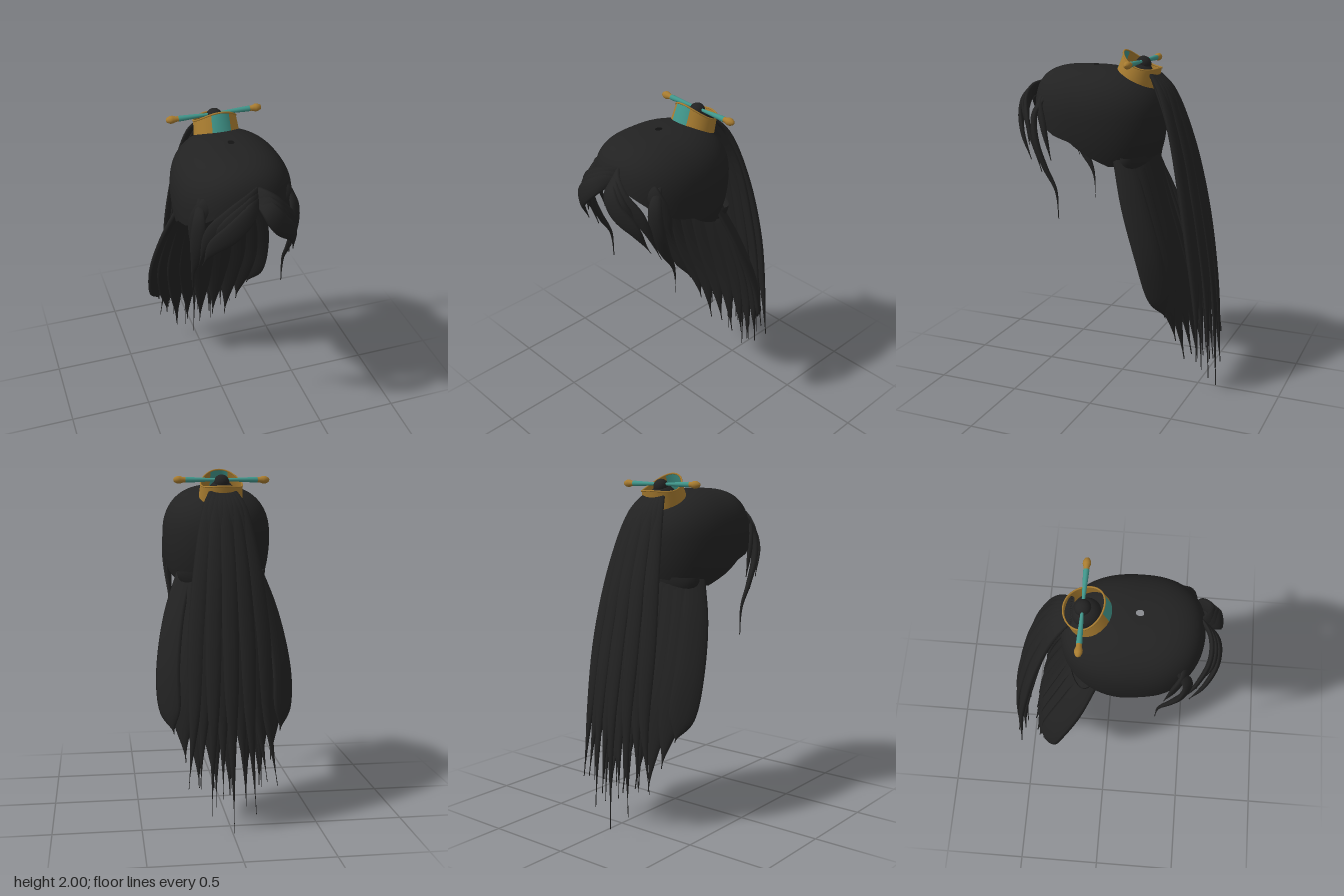
import * as THREE from 'three';

const hair = new THREE.MeshStandardMaterial({ color: 0x222222, side: THREE.DoubleSide });
hair.name = 'black hair';
const gold = new THREE.MeshStandardMaterial({ color: 0xa87c30, side: THREE.DoubleSide });
gold.name = 'gold';
const teal = new THREE.MeshStandardMaterial({ color: 0x40958a, side: THREE.DoubleSide });
teal.name = 'teal';

const V = (x, y, z) => new THREE.Vector3(x, y, z);
const lerp = THREE.MathUtils.lerp;

function add(parent, name, geometry, material, x = 0, y = 0, z = 0) {
  const mesh = new THREE.Mesh(geometry, material);
  mesh.name = name;
  mesh.position.set(x, y, z);
  parent.add(mesh);
  return mesh;
}

// Grid surface from a point rule f(u, v), u across and v along
function surface(f, nu, nv, closed = false) {
  const pos = [], index = [], cols = closed ? nu : nu + 1;
  for (let j = 0; j <= nv; j++)
    for (let i = 0; i < cols; i++) pos.push(...f(i / nu, j / nv).toArray());
  for (let j = 0; j < nv; j++)
    for (let i = 0; i < nu; i++) {
      const a = j * cols + i, b = j * cols + (i + 1) % cols;
      index.push(a, a + cols, b, b, a + cols, b + cols);
    }
  const g = new THREE.BufferGeometry();
  g.setAttribute('position', new THREE.Float32BufferAttribute(pos, 3));
  g.setIndex(index);
  g.computeVertexNormals();
  return g;
}

// Lens-section strand with a thin tip, whose flat side faces away from the head
function lock(points, width, thick, { root = 0.5, taper = 1.6, peak = 0.45 } = {}) {
  const curve = new THREE.CatmullRomCurve3(points.map(p => V(...p)));
  const n = 30, frames = [];
  for (let j = 0; j <= n; j++) {
    const t = j / n, p = curve.getPoint(t), T = curve.getTangent(t);
    const side = T.clone().cross(V(p.x, 0, p.z - 0.1)).normalize();
    const normal = side.clone().cross(T);
    const f = t < peak
      ? lerp(root, 1, Math.sin(t / peak * Math.PI / 2))
      : Math.max(0.03, 0.5 + 0.5 * Math.cos(Math.PI * Math.pow((t - peak) / (1 - peak), taper)));
    frames.push({ p, side, normal, f });
  }
  return surface((u, v) => {
    const { p, side, normal, f } = frames[Math.round(v * n)], a = u * Math.PI * 2;
    return p.clone().addScaledVector(side, width * f * Math.cos(a))
      .addScaledVector(normal, thick * Math.sqrt(f) * Math.sin(a));
  }, 10, n, true);
}

// Lower edge of the cap, by cosine of the angle from the front
const EDGE = [[-1, 1.41], [-0.5, 1.36], [-0.15, 1.43], [0.1, 1.5], [0.4, 1.53], [0.7, 1.6], [1, 1.71]];
function capEdge(c) {
  const i = Math.max(1, EDGE.findIndex(e => c <= e[0]));
  const [c0, y0] = EDGE[i - 1], [c1, y1] = EDGE[i];
  return lerp(y0, y1, (c - c0) / (c1 - c0));
}

// Open cap with a small hole at the crown, fuller towards the forehead
function capGeometry() {
  const cy = 1.6, h = 0.31, cz = 0.165;
  return surface((u, v) => {
    const a = u * Math.PI * 2, s = Math.sin(a), c = Math.cos(a);
    const power = 0.83 - 0.28 * Math.max(0, c) ** 2;
    const e = (capEdge(c) - cy) / h;
    const phiMax = Math.acos(Math.sign(e) * Math.pow(Math.abs(e), 1 / power));
    const phi0 = Math.asin(Math.pow(0.054, 1 / power));
    const phi = lerp(phi0, phiMax, v), k = Math.cos(phi);
    const y = cy + h * Math.sign(k) * Math.pow(Math.abs(k), power);
    const d = Math.max(0, cy - y) / 0.23;
    const r = k > 0 ? Math.pow(Math.sin(phi), power) : 1 - 0.1 * d * d;
    const q = 1 / Math.pow(Math.pow(Math.abs(s), 2.3) + Math.pow(Math.abs(c), 2.3), 1 / 2.3);
    return V(0.32 * s * q * r, y, cz + (c > 0 ? 0.355 : 0.42) * c * q * r);
  }, 64, 30, true);
}

function addBackHair(g) {
  // Lower sheet of locks hanging from the nape
  for (let i = 0; i < 9; i++) {
    const u = (i - 4) / 4, q = u * u, w = u * (1.25 - 0.25 * Math.abs(u));
    const endY = 0.18 + 0.34 * q * Math.abs(u) + (i % 2 ? 0.04 : 0);
    add(g, 'napeLock', lock([
      [0.21 * w, 1.42, -0.19 + 0.1 * q],
      [0.285 * w, 1.17, -0.255 + 0.07 * q],
      [0.33 * w, 0.87, -0.345 + 0.05 * q],
      [0.325 * w, 0.65, -0.405 + 0.05 * q],
      [0.305 * w, endY, -0.49 + 0.1 * q],
    ], 0.085, 0.02, { root: 0.75, taper: 2.2 }), hair);
  }
  // Rounded nape under the cap
  const nape = add(g, 'nape', new THREE.SphereGeometry(1, 32, 12, 0, Math.PI * 2, Math.PI / 2, Math.PI / 2),
    hair, 0, 1.42, -0.115);
  nape.scale.set(0.26, 0.16, 0.1);

  // Ponytail, outer layer: sideways spread and tip height per lock
  const tips = [0.25, 0.28, 0.1, 0.2, 0, 0.2, 0.1, 0.27, 0.25];
  tips.forEach((endY, i) => {
    const v = (i - 4) / 4, q = v * v, ridge = i % 2 ? 0.012 : 0;
    add(g, 'ponytailLock', lock([
      [0.05 * v, 1.88, -0.19],
      [0.09 * v, 1.78, -0.295 + 0.02 * q],
      [0.14 * v, 1.5, -0.41 + 0.03 * q + ridge],
      [0.185 * v, 1.1, -0.505 + 0.035 * q + ridge],
      [0.205 * v, 0.65, -0.575 + 0.04 * q + ridge],
      [0.25 * v - 0.01, endY, -0.61 + 0.05 * q],
    ], 0.048, 0.018, { root: 0.55, taper: 1.7, peak: 0.5 }), hair);
  });
  // Ponytail, inner layer
  for (let i = 0; i < 5; i++) {
    const v = (i - 2) / 2;
    add(g, 'ponytailInnerLock', lock([
      [0.05 * v, 1.85, -0.21], [0.1 * v, 1.6, -0.335], [0.14 * v, 1.15, -0.44],
      [0.16 * v, 0.7, -0.51], [0.17 * v, i % 2 ? 0.13 : 0.24, -0.545],
    ], 0.055, 0.015, { taper: 1.8 }), hair);
  }
}

function addFringe(g) {
  for (const s of [1, -1]) {
    const side = s > 0 ? 'left' : 'right';
    // Swept locks parting near the middle: bulge depth, then tip x, y and z
    [[0.595, 0.26, 1.37, 0.47], [0.575, 0.225, 1.45, 0.5], [0.555, 0.265, 1.3, 0.4]].forEach(([z, x, y, ze], i) => {
      add(g, side + 'FringeLock', lock([
        [0.04 - 0.03 * s, 1.77 + 0.015 * i, 0.46],
        [0.02 + 0.05 * s, 1.72 + 0.02 * i, z - 0.015],
        [0.13 * s, 1.63 + 0.03 * i, z],
        [(x - 0.04) * s, 1.52 + 0.025 * i, z - 0.05],
        [x * s, y, ze],
      ], 0.055, 0.016, { root: 0.3, taper: 1.6 }), hair);
    });
    // Strand framing the face
    add(g, side + 'FaceStrand', lock([
      [0.24 * s, 1.74, 0.38], [0.265 * s, 1.64, 0.44], [0.275 * s, 1.48, 0.43],
      [0.272 * s, 1.33, 0.375], [0.268 * s, 1.2, 0.31], [0.268 * s, 1.03, 0.295],
    ], 0.042, 0.018, { root: 0.3, taper: 1, peak: 0.35 }), hair);
    // Temple lock blending the fringe into the cap
    add(g, side + 'TempleLock', lock([
      [0.16 * s, 1.77, 0.4], [0.23 * s, 1.7, 0.42], [0.275 * s, 1.57, 0.38], [0.285 * s, 1.38, 0.33],
    ], 0.045, 0.018, { root: 0.3, taper: 1.4 }), hair);
  }
}

// Tilted crown: rim and base rings by angle from the front
const crownTop = a => V(0.12 * Math.sin(a), 1.915 + 0.047 * Math.cos(a) + 0.036 * Math.cos(a) ** 2, -0.125 + 0.108 * Math.cos(a));
const crownBase = a => V(0.127 * Math.sin(a), 1.845 + 0.055 * Math.cos(a), -0.095 + 0.115 * Math.cos(a));

function addCrown(g) {
  const wall = (a0, a1) => surface((u, v) => {
    const a = lerp(a0, a1, u);
    return crownTop(a).lerp(crownBase(a), v);
  }, 28, 4);
  const p = 0.43;
  add(g, 'crownFrontPanel', wall(-p, p), teal);
  add(g, 'crownBand', wall(p, Math.PI * 2 - p), gold);
  const rim = Array.from({ length: 32 }, (_, i) => crownTop(i / 32 * Math.PI * 2));
  add(g, 'crownRim', new THREE.TubeGeometry(new THREE.CatmullRomCurve3(rim, true), 64, 0.005, 6, true), gold);

  // Bun held inside the crown
  add(g, 'bun', new THREE.SphereGeometry(0.08, 24, 16), hair, 0, 1.86, -0.11);
  add(g, 'bunKnot', new THREE.SphereGeometry(0.045, 20, 14), hair, 0, 1.925, -0.13);

  // Hairpin through the bun, turned profiles laid along x
  const turned = pts => new THREE.LatheGeometry(pts.map(q => new THREE.Vector2(...q)), 16);
  for (const s of [1, -1]) {
    const half = new THREE.Group();
    half.name = s > 0 ? 'leftHairpin' : 'rightHairpin';
    half.position.set(0, 1.94, -0.13);
    half.rotation.z = -s * Math.PI / 2;
    add(half, 'hairpinRod', turned([[0.008, 0], [0.009, 0.05], [0.013, 0.13], [0.016, 0.2], [0.014, 0.215]]), teal);
    add(half, 'hairpinTip', turned([[0.015, 0.205], [0.015, 0.22], [0.022, 0.24], [0.021, 0.255], [0.013, 0.272], [0, 0.278]]), gold);
    g.add(half);
  }
}

export function createModel() {
  const model = new THREE.Group();
  model.name = 'hairstyle';
  add(model, 'hairCap', capGeometry(), hair);
  addBackHair(model);
  addFringe(model);
  addCrown(model);
  return model;
}
